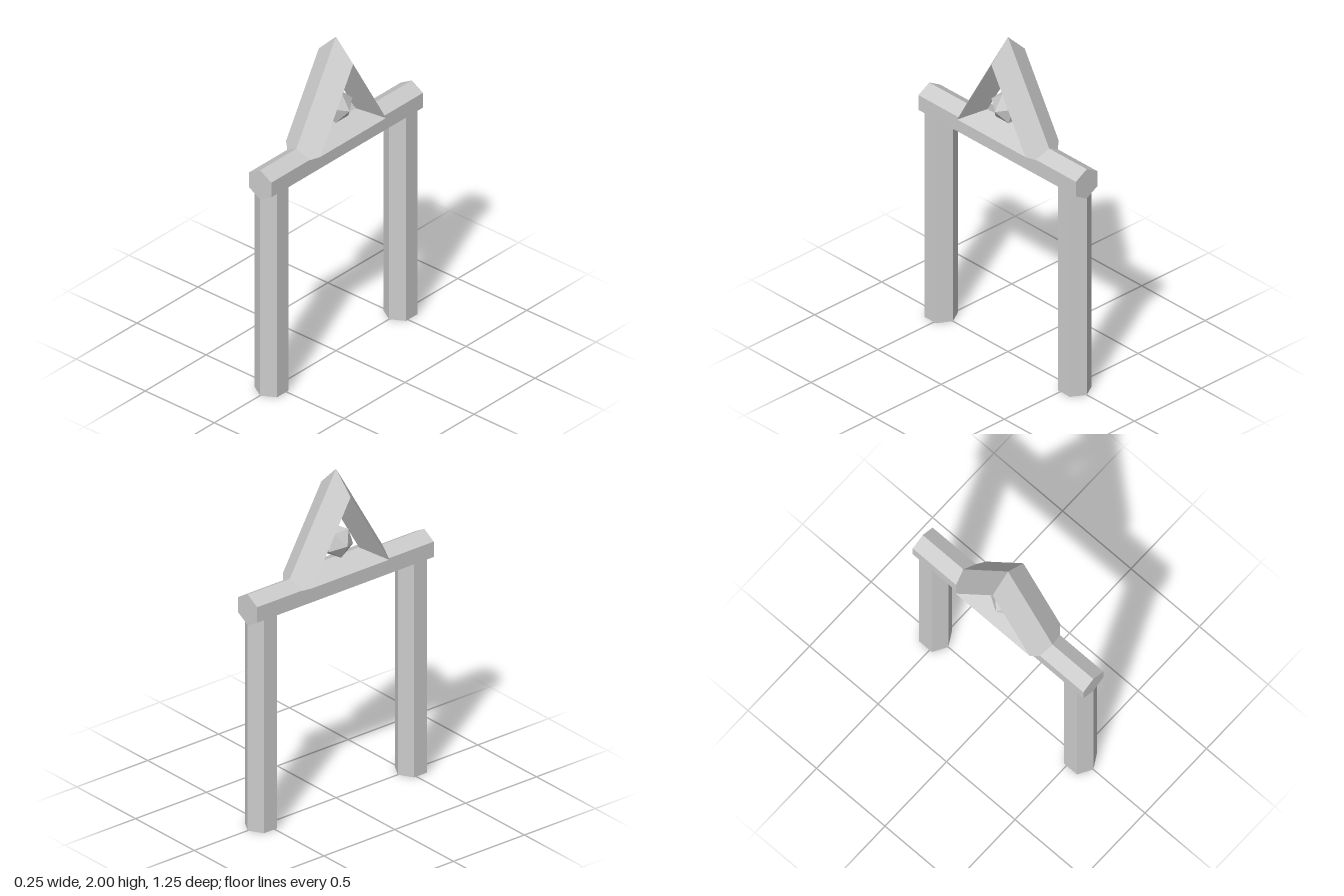
import * as THREE from 'three';

export function createModel() {
  const group = new THREE.Group();
  const material = new THREE.MeshStandardMaterial({ color: 0xcccccc, flatShading: true });

  function add(name, geometry, x, y, z) {
    const mesh = new THREE.Mesh(geometry, material);
    mesh.name = name;
    mesh.position.set(x, y, z);
    group.add(mesh);
  }

  const barRadius = 0.0935;
  const beamLength = 1.246;
  const beamY = 1.342;
  const ringY = 1.564;

  // Two hexagonal posts, their tops buried in the beam
  const postHeight = 1.32;
  for (const side of [1, -1]) {
    add(side > 0 ? 'frontPost' : 'backPost',
      new THREE.CylinderGeometry(barRadius, barRadius, postHeight, 6),
      0, postHeight / 2, side * (beamLength / 2 - barRadius));
  }

  // Hexagonal crossbeam with a ridge on top
  add('crossbeam',
    new THREE.CylinderGeometry(barRadius, barRadius, beamLength, 6).rotateX(Math.PI / 2),
    0, beamY, 0);

  // Triangular ring with a diamond section, its lower corners sunk into the beam
  add('triangleRing',
    new THREE.TorusGeometry(0.3115, 0.1246, 4, 3).rotateZ(Math.PI / 2).rotateY(Math.PI / 2),
    0, ringY, 0);

  // Faceted gem floating in the ring, one vertex pointing along x
  const golden = (1 + Math.sqrt(5)) / 2;
  add('gem',
    new THREE.IcosahedronGeometry(0.0985, 0).rotateZ(-Math.atan(golden)),
    0, ringY, 0);

  return group;
}
